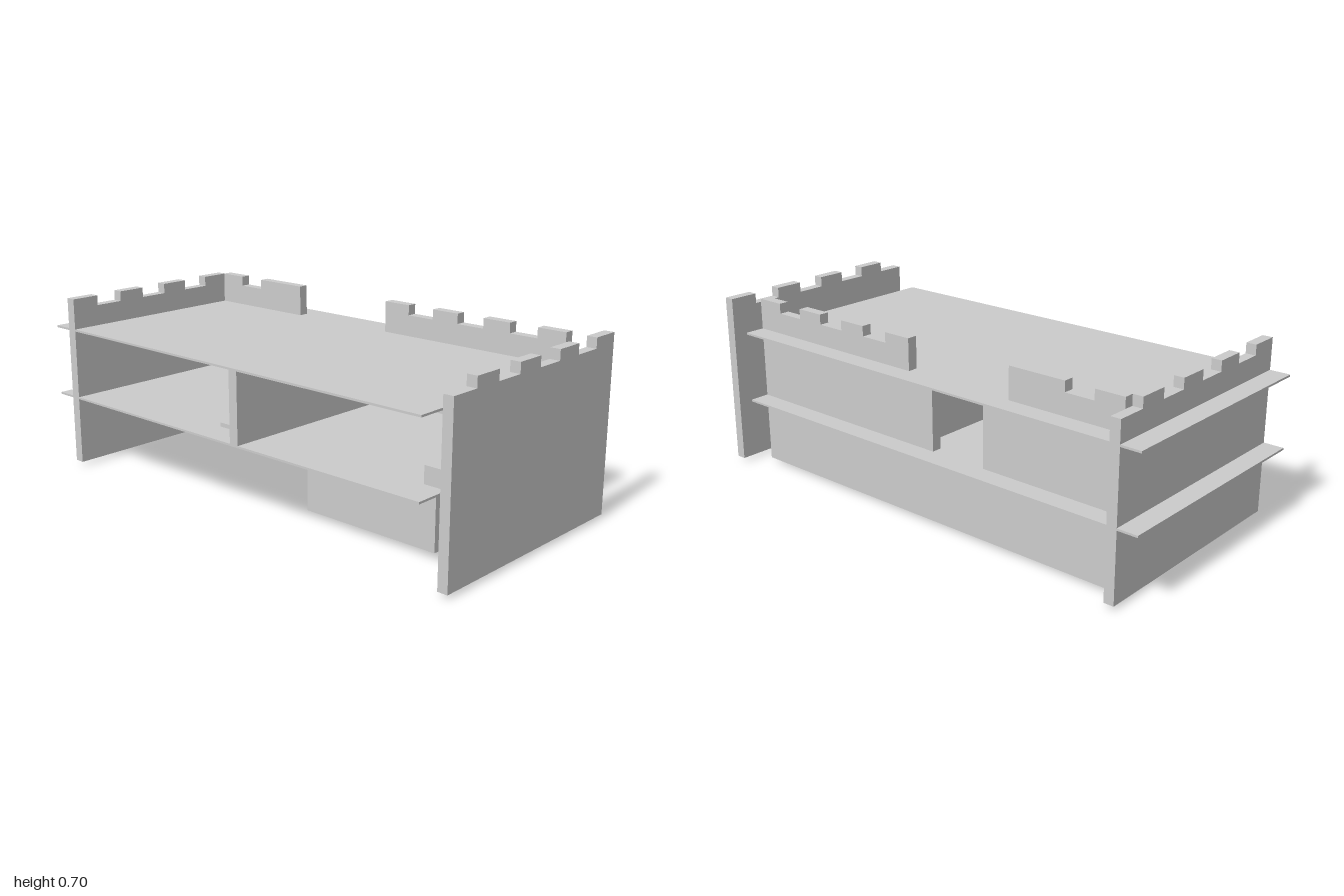
import * as THREE from 'three';

export function createModel() {
  const model = new THREE.Group();
  model.name = 'castleBed';
  const grey = new THREE.MeshStandardMaterial({ color: 0xcccccc });
  grey.name = 'plain grey';

  const BASE = 0.015, LOW = 0.29, HIGH = 0.573, NOTCH = 0.66, TOP = 0.70;
  const STEP = 0.1175, T = 0.04; // battlement tooth width, board thickness

  // Box given by its limits on each axis
  function board(name, x0, x1, y0, y1, z0, z1) {
    const mesh = new THREE.Mesh(new THREE.BoxGeometry(x1 - x0, y1 - y0, z1 - z0), grey);
    mesh.name = name;
    mesh.position.set((x0 + x1) / 2, (y0 + y1) / 2, (z0 + z1) / 2);
    model.add(mesh);
    return mesh;
  }

  // Upright board with a toothed top; teeth lists true for a raised step
  function battlement(name, bottom, teeth) {
    const shape = new THREE.Shape();
    shape.moveTo(0, bottom);
    let u = 0;
    for (const raised of teeth) {
      const y = raised ? TOP : NOTCH;
      shape.lineTo(u, y);
      u += STEP;
      shape.lineTo(u, y);
    }
    shape.lineTo(u, bottom);
    const mesh = new THREE.Mesh(new THREE.ExtrudeGeometry(shape, { depth: T, bevelEnabled: false }), grey);
    mesh.name = name;
    model.add(mesh);
    return mesh;
  }
  const alternate = (n, first) => Array.from({ length: n }, (_, i) => (i % 2 === 0) === first);

  // End panels with opposite tooth patterns
  battlement('frontPanel', BASE, alternate(8, false)).position.set(-0.47, 0, 0.96);
  battlement('backPanel', BASE, alternate(8, true)).position.set(-0.47, 0, -0.92);

  // Thin decks running through the back panel
  board('lowerDeck', -0.47, 0.47, LOW - 0.004, LOW + 0.004, -1, 0.88);
  board('upperDeck', -0.47, 0.47, HIGH - 0.004, HIGH + 0.004, -1, 0.88);

  // Side wall with a doorway on the middle level
  board('lowerWall', 0.35, 0.39, BASE, LOW, -0.88, 0.88);
  board('middleWallFront', 0.35, 0.39, LOW, HIGH, -0.055, 0.88);
  board('middleWallBack', 0.35, 0.39, LOW, HIGH, -0.88, -0.295);

  // Toothed parapets above the wall
  const front = battlement('parapetFront', HIGH, alternate(7, true));
  front.rotation.y = Math.PI / 2;
  front.position.set(0.35, 0, 0.88);
  const back = battlement('parapetBack', HIGH, [true, true, false, true]);
  back.rotation.y = Math.PI / 2;
  back.position.set(0.35, 0, -0.41);

  // Middle level: partition and small furniture
  board('partition', -0.47, 0.35, LOW, HIGH, 0.02, 0.06);
  board('wallShelf', -0.15, 0.1, 0.48, 0.49, -0.095, 0.02);
  board('floorCushion', -0.35, -0.25, LOW, 0.31, -0.16, -0.065);
  board('storageCube', -0.33, -0.23, LOW, 0.36, 0.79, 0.88);

  // Lower level: side board and stacked shelves
  board('lowerSideBoard', -0.235, -0.195, BASE, LOW, 0.18, 0.77);
  for (const y of [0, 0.08, 0.165]) board('stackedShelf', -0.12, 0.355, y, y + 0.012, 0.18, 0.65);

  // Blocks behind the front panel
  for (const x of [-0.105, 0.13]) board('footBlock', x, x + 0.09, 0.018, 0.042, 0.895, 0.96);

  return model;
}
